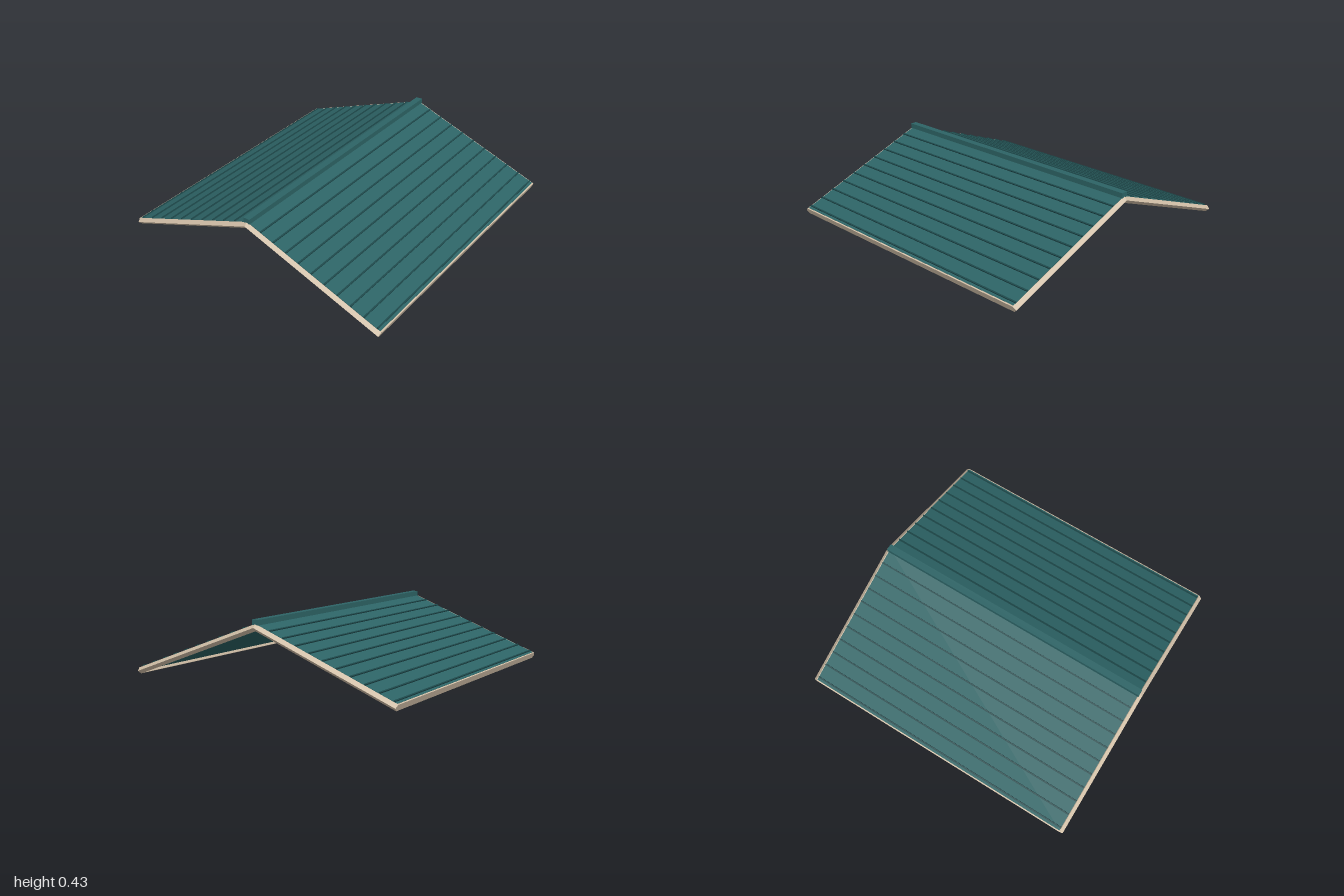
import * as THREE from 'three';

const teal = new THREE.MeshStandardMaterial({ color: 0x2d6466 });
teal.name = 'teal metal';
const darkTeal = new THREE.MeshStandardMaterial({ color: 0x1d484a });
darkTeal.name = 'dark teal seam';
const tan = new THREE.MeshStandardMaterial({ color: 0xd2c0a8 });
tan.name = 'tan trim';

const PITCH = THREE.MathUtils.degToRad(20.4);
const APEX = 0.382;      // height of the trim centre line at the ridge
const LENGTH = 1.038;    // slope length from ridge to eave
const TRIM = 0.021;      // half height of the trim
const RAKE_Z = 0.978;

// Cut the ridge end (x = 0) so both slopes meet on a vertical plane
function mitre(geometry) {
  const p = geometry.attributes.position;
  for (let i = 0; i < p.count; i++) {
    if (Math.abs(p.getX(i)) < 1e-4) p.setX(i, -p.getY(i) * Math.tan(PITCH));
  }
  const flat = geometry.toNonIndexed();
  flat.computeVertexNormals();
  return flat;
}

function add(group, name, geometry, material) {
  const mesh = new THREE.Mesh(geometry, material);
  mesh.name = name;
  group.add(mesh);
  return mesh;
}

// One slope, with x running down from the ridge and y standing off the roof
function createSlope(name) {
  const slope = new THREE.Group();
  slope.name = name;

  // Roof sheet
  const sheetLength = LENGTH - 0.009;
  const sheet = new THREE.BoxGeometry(sheetLength, 0.025, RAKE_Z * 2 - 0.008);
  sheet.translate(sheetLength / 2, 0.0085, 0);
  add(slope, 'roofSheet', mitre(sheet), teal);

  // Standing seams
  for (let i = 1; i <= 10; i++) {
    const seam = new THREE.BoxGeometry(0.01, 0.009, RAKE_Z * 2 - 0.008);
    seam.translate((i * 0.0943) / Math.cos(PITCH), 0.0235, 0);
    add(slope, 'seam', seam, darkTeal);
  }

  // Diamond-section trim along both gable edges
  for (const side of [-1, 1]) {
    const rake = new THREE.CylinderGeometry(1, 1, LENGTH, 4);
    rake.rotateZ(Math.PI / 2);
    rake.scale(1, TRIM, 0.022);
    rake.translate(LENGTH / 2, 0, side * RAKE_Z);
    add(slope, 'gableTrim', mitre(rake), tan);
  }

  // Flat trim along the eave
  const eave = new THREE.BoxGeometry(0.022, TRIM * 2 - 0.001, RAKE_Z * 2);
  eave.translate(LENGTH - 0.011, -0.0005, 0);
  add(slope, 'eaveTrim', eave, tan);

  slope.rotation.z = -PITCH;
  slope.position.y = APEX;
  return slope;
}

export function createModel() {
  const roof = new THREE.Group();
  roof.name = 'gableRoof';

  const left = createSlope('leftSlope');
  const right = new THREE.Group();
  right.name = 'rightSide';
  right.add(createSlope('rightSlope'));
  right.rotation.y = Math.PI;
  roof.add(left, right);

  // Ridge cap
  const cap = add(roof, 'ridgeCap', new THREE.BoxGeometry(0.046, 0.034, 1.962), teal);
  cap.position.y = 0.413;
  return roof;
}
